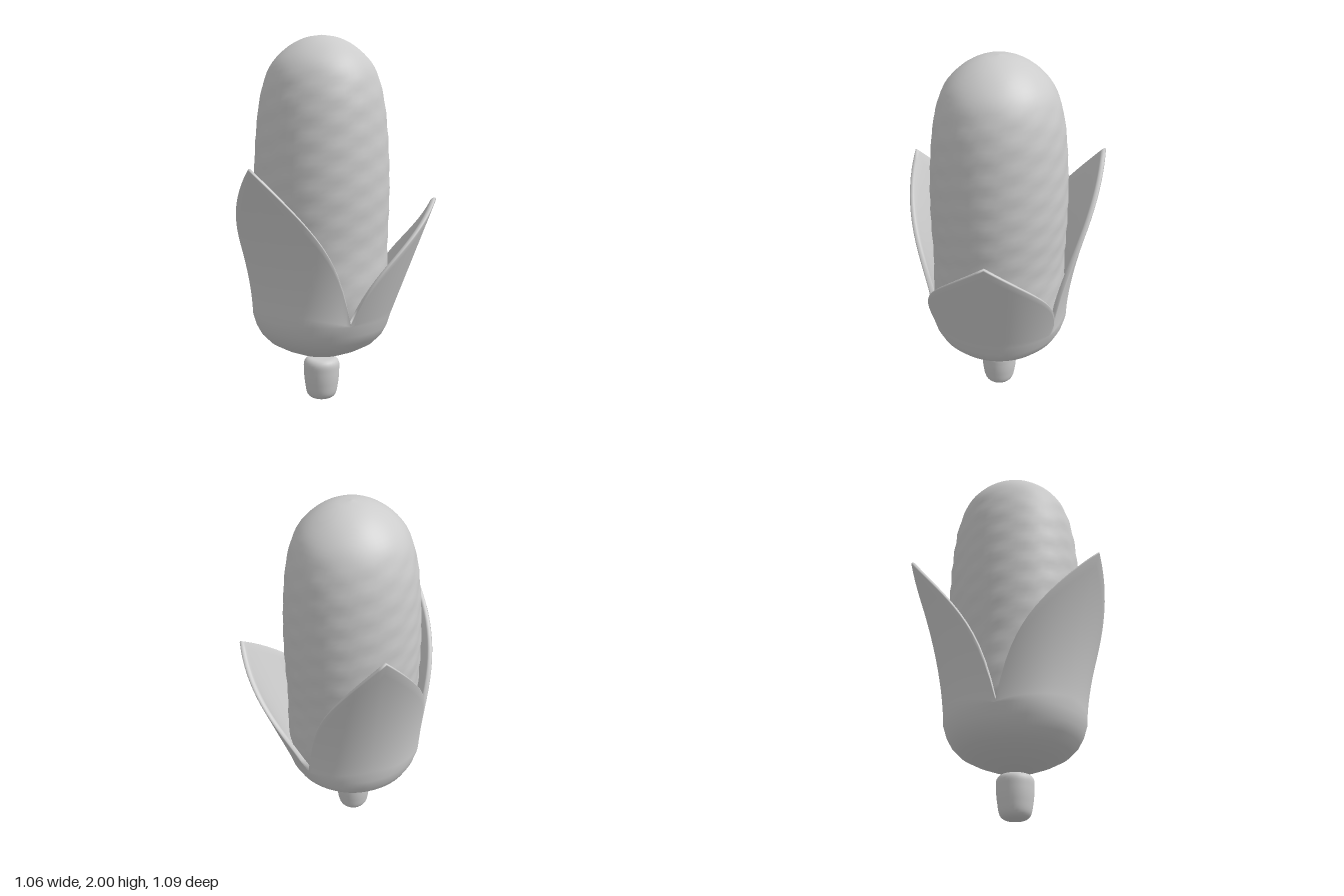
import * as THREE from 'three';

const AXIS_X = 0.055, AXIS_Z = -0.05;
const rad = THREE.MathUtils.degToRad;

// Closed skin around the vertical axis: each column is a list of [radius, y]
function skin(angles, column) {
  const cols = angles.map(column), rows = cols[0].length, n = angles.length;
  const pos = [], index = [];
  cols.forEach((col, i) => col.forEach(([r, y]) =>
    pos.push(AXIS_X + r * Math.sin(angles[i]), y, AXIS_Z + r * Math.cos(angles[i]))));
  for (let i = 0; i < n; i++) {
    for (let j = 0; j < rows - 1; j++) {
      const a = i * rows + j, b = ((i + 1) % n) * rows + j;
      index.push(a, b, b + 1, a, b + 1, a + 1);
    }
  }
  const g = new THREE.BufferGeometry();
  g.setAttribute('position', new THREE.Float32BufferAttribute(pos, 3));
  g.setIndex(index);
  g.computeVertexNormals();
  return g;
}

const ring = (n) => Array.from({ length: n }, (_, i) => (i / n) * Math.PI * 2);

// Smooth curve through a few [radius, y] points
function profile(points, n) {
  const curve = new THREE.CatmullRomCurve3(points.map(([r, y]) => new THREE.Vector3(r, y, 0)));
  return curve.getSpacedPoints(n).map((p) => [Math.max(0, p.x), p.y]);
}

// Cob with faint rows of kernels
function cobGeometry() {
  const line = profile([[0.24, 0.36], [0.345, 0.5], [0.36, 0.9], [0.367, 1.2], [0.353, 1.5],
    [0.325, 1.7], [0.275, 1.84], [0.185, 1.935], [0.09, 1.985], [0, 2]], 60);
  return skin(ring(48), (a) => line.map(([r, y]) => {
    const fade = Math.min(1, r / 0.3) * (y < 1.8 ? 1 : 0.3);
    return [r + (r > 0 ? 0.003 * fade * Math.sin(y * 48 + Math.sin(a * 3)) * Math.cos(a * 8) : 0), y];
  }));
}

// Husk: one cup that rises into three pointed leaves
function huskGeometry() {
  const leaves = [
    { tip: 17, from: -46, to: 77.5, height: 1.33, reach: 0.6, bend: 1.6 },
    { tip: 138, from: 77.5, to: 194, height: 1.14, reach: 0.62, bend: 1.0 },
    { tip: 250, from: 194, to: 314, height: 1.43, reach: 0.595, bend: 1.6 },
  ];
  const cup = [[0, 0.26], [0.07, 0.263], [0.14, 0.275], [0.22, 0.307], [0.29, 0.345],
    [0.335, 0.39], [0.362, 0.44], [0.38, 0.5]];
  const steps = 16, rise = 12, thick = 0.03, base = 0.5;
  const angles = [], info = [];
  for (const leaf of leaves) {
    for (let k = 0; k < steps * 2; k++) {
      const u = Math.abs(k / steps - 1);
      const side = k < steps ? leaf.from : leaf.to;
      angles.push(rad(leaf.tip + (side - leaf.tip) * u));
      const drop = 0.75 * u + 0.25 * u ** 6;
      info.push({ leaf, edge: leaf.height - (leaf.height - 0.52) * drop });
    }
  }
  return skin(angles, (a, i) => {
    const { leaf, edge } = info[i];
    const radius = (y) => 0.38 + (leaf.reach - 0.38) *
      Math.max(0, (y - base) / (leaf.height - base)) ** leaf.bend;
    const wall = [];
    for (let s = 1; s <= rise; s++) {
      const y = base + (edge - 0.008 - base) * (s / rise);
      wall.push([radius(y), y]);
    }
    const top = radius(edge);
    const rim = [[top - 0.006, edge - 0.001], [top - thick / 2, edge], [top - thick + 0.006, edge - 0.003]];
    const inside = wall.map(([r, y]) => [r - thick, y - 0.004]).reverse();
    return [...cup, ...wall, ...rim, ...inside, [0.31, 0.42]];
  });
}

// Short rounded stem
function stemGeometry() {
  const line = profile([[0, 0.004], [0.055, 0.006], [0.078, 0.025], [0.093, 0.09], [0.099, 0.16],
    [0.097, 0.21], [0.08, 0.23], [0.045, 0.234], [0, 0.235]], 36);
  line[0][1] = 0;
  return skin(ring(28), () => line);
}

export function createModel() {
  const group = new THREE.Group();
  group.name = 'cornCob';
  const paleGrey = new THREE.MeshStandardMaterial({ color: 0xcccccc });
  paleGrey.name = 'pale grey';
  const parts = { cob: cobGeometry(), husk: huskGeometry(), stem: stemGeometry() };
  for (const [name, geometry] of Object.entries(parts)) {
    const mesh = new THREE.Mesh(geometry, paleGrey);
    mesh.name = name;
    group.add(mesh);
  }
  return group;
}
